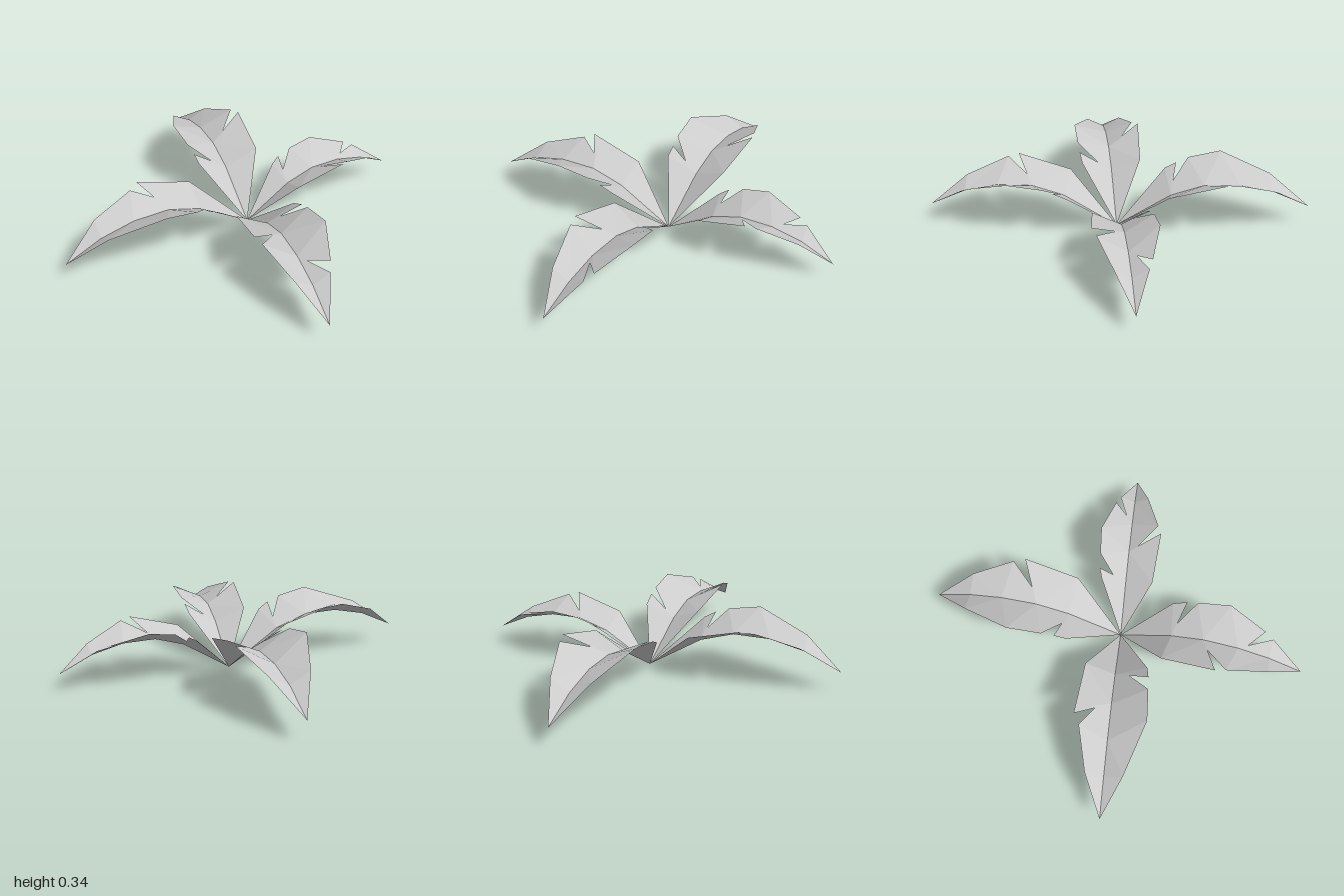
import * as THREE from 'three';

// Stem point shared by every leaf, as [x, z]
const BASE = [0.055, 0.015];
// Midrib arch: [fraction of leaf length, height / length]
const RIB = [[0, 0], [0.28, 0.178], [0.45, 0.233], [0.637, 0.233], [0.812, 0.193], [1, 0.107]];
// How steeply the blades rise from the midrib (V-shaped section)
const SLOPE = 0.53;

// Leaf plans as [x, z]; the inward points are the tears in the blades
const LEAVES = [
  {
    name: 'backLeaf', tip: [0.14, -1],
    edges: [
      [[0.255, -0.235], [0.3, -0.52], [0.165, -0.465], [0.285, -0.58], [0.225, -0.8]],
      [[-0.09, -0.26], [-0.09, -0.32], [0.01, -0.285], [-0.095, -0.385], [-0.095, -0.56], [0.02, -0.81]],
    ],
  },
  {
    name: 'leftLeaf', tip: [0.965, 0.015],
    edges: [
      [[0.29, 0.16], [0.55, 0.18], [0.49, 0.06], [0.6, 0.16], [0.8, 0.09]],
      [[0.29, -0.115], [0.335, -0.13], [0.315, -0.05], [0.41, -0.135], [0.55, -0.145],
        [0.745, -0.085], [0.68, -0.02], [0.79, -0.065]],
    ],
  },
  {
    name: 'rightLeaf', tip: [-0.97, 0.02],
    edges: [
      [[-0.21, -0.14], [-0.5, -0.16], [-0.43, -0.05], [-0.55, -0.13], [-0.77, -0.075]],
      [[-0.2, 0.18], [-0.26, 0.19], [-0.235, 0.08], [-0.33, 0.195], [-0.5, 0.205], [-0.77, 0.115]],
    ],
  },
  {
    name: 'frontLeaf', tip: [-0.085, 0.995],
    edges: [
      [[0.175, 0.28], [0.175, 0.355], [0.07, 0.31], [0.17, 0.41], [0.16, 0.58],
        [0.06, 0.775], [-0.015, 0.69], [0.03, 0.82]],
      [[-0.14, 0.245], [-0.2, 0.52], [-0.07, 0.475], [-0.19, 0.575], [-0.15, 0.8]],
    ],
  },
];

// Height of the midrib at fraction t
function ribHeight(t) {
  const i = Math.max(1, RIB.findIndex(([f]) => f >= t));
  const [f0, h0] = RIB[i - 1], [f1, h1] = RIB[i];
  return THREE.MathUtils.mapLinear(t, f0, f1, h0, h1);
}

// One half of a leaf: a strip of facets between the midrib and the torn edge
function bladeGeometry(tip, edge) {
  const base = new THREE.Vector2(...BASE);
  const dir = new THREE.Vector2(...tip).sub(base);
  const length = dir.length();
  dir.normalize();

  const rib = RIB.map(([t, h]) => ({
    along: t * length,
    point: [base.x + dir.x * t * length, h * length, base.y + dir.y * t * length],
  }));
  const rim = edge.map(([x, z]) => {
    const p = new THREE.Vector2(x, z).sub(base);
    const along = p.dot(dir), across = Math.abs(p.cross(dir));
    return { along, point: [x, ribHeight(along / length) * length + SLOPE * across, z] };
  });
  rim.push(rib[rib.length - 1]);

  const positions = [];
  const addFacet = (a, b, c) => {
    const [A, B, C] = [a.point, b.point, c.point];
    // Wind each facet so that it faces up
    const up = (B[2] - A[2]) * (C[0] - A[0]) - (B[0] - A[0]) * (C[2] - A[2]);
    positions.push(...A, ...(up > 0 ? [...B, ...C] : [...C, ...B]));
  };

  // Walk both lines to the tip; the midrib never overtakes a tear still ahead
  addFacet(rib[0], rib[1], rim[0]);
  let i = 1, j = 0;
  while (j < rim.length - 1) {
    const ahead = Math.min(...rim.slice(j + 1).map((p) => p.along));
    if (i < rib.length - 2 && rib[i + 1].along <= ahead) {
      addFacet(rib[i], rib[i + 1], rim[j]);
      i++;
    } else {
      addFacet(rib[i], rim[j], rim[j + 1]);
      j++;
    }
  }
  // Close any midrib stations left before the tip
  for (; i < rib.length - 2; i++) addFacet(rib[i], rib[i + 1], rim[j]);

  const geometry = new THREE.BufferGeometry();
  geometry.setAttribute('position', new THREE.Float32BufferAttribute(positions, 3));
  geometry.computeVertexNormals();
  return geometry;
}

export function createModel() {
  const model = new THREE.Group();
  model.name = 'leafRosette';
  const material = new THREE.MeshStandardMaterial({
    color: 0xcccccc, flatShading: true, side: THREE.DoubleSide,
  });
  for (const { name, tip, edges } of LEAVES) {
    const leaf = new THREE.Group();
    leaf.name = name;
    edges.forEach((edge, i) => {
      const blade = new THREE.Mesh(bladeGeometry(tip, edge), material);
      blade.name = i === 0 ? 'firstBlade' : 'secondBlade';
      leaf.add(blade);
    });
    model.add(leaf);
  }
  return model;
}
